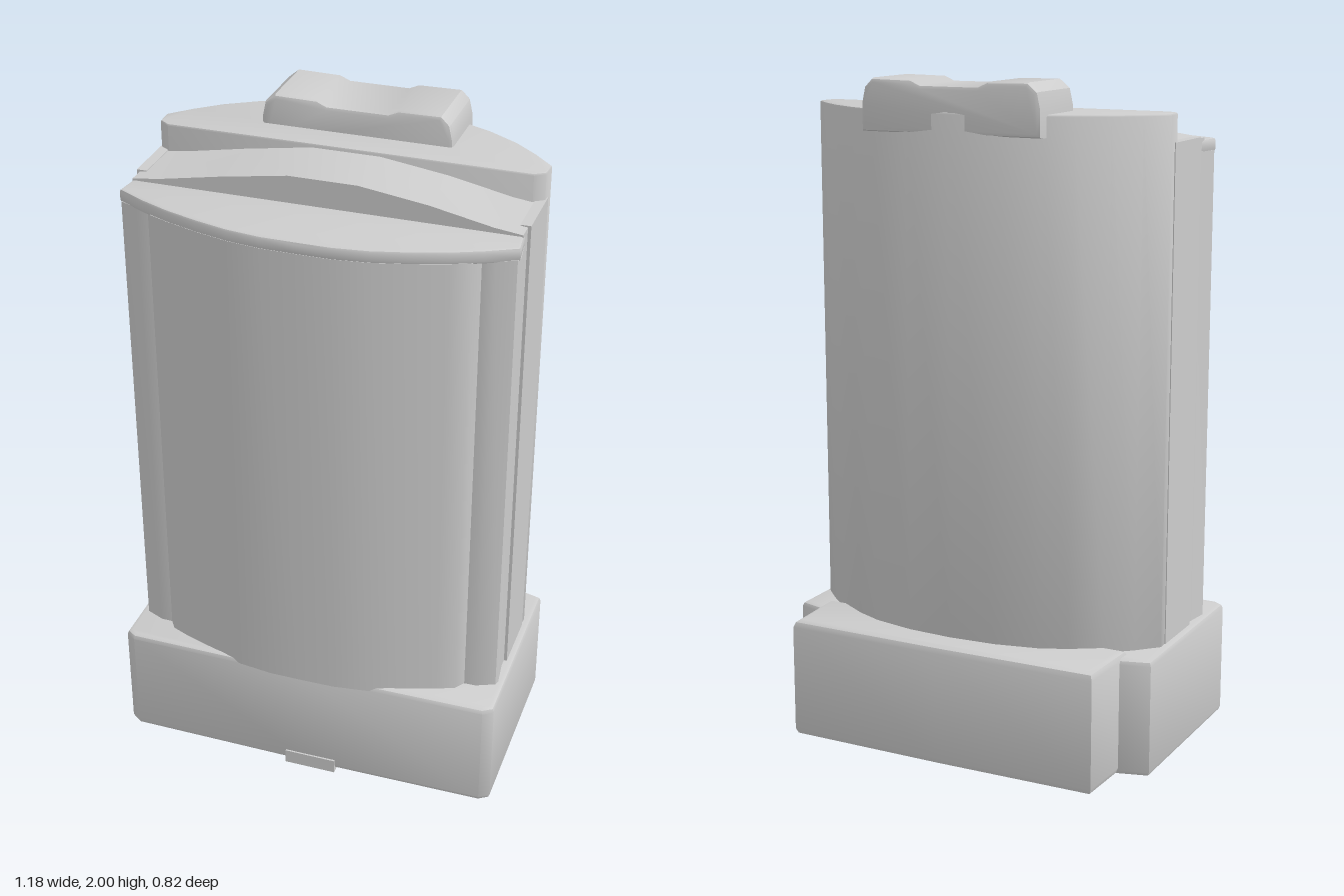
import * as THREE from 'three';
import { toCreasedNormals } from 'three/addons/utils/BufferGeometryUtils.js';

const stone = new THREE.MeshStandardMaterial({ color: 0xcccccc });
stone.name = 'pale grey stone';

const shapeOf = (points) => new THREE.Shape(points.map(([x, y]) => new THREE.Vector2(x, y)));

// Mirrors a half outline given from the centre line outwards and round
const mirrored = (half) => [...half, ...half.filter(([x]) => x > 0).reverse().map(([x, z]) => [-x, z])];

function addMesh(group, name, geometry) {
  const mesh = new THREE.Mesh(toCreasedNormals(geometry, 0.6), stone);
  mesh.name = name;
  group.add(mesh);
}

// Raises a plan outline [x, z] from y0 to y1 with a softened edge
function raise(plan, y0, y1, bevel) {
  const geometry = new THREE.ExtrudeGeometry(shapeOf(plan.map(([x, z]) => [x, -z])), {
    depth: y1 - y0 - 2 * bevel, bevelEnabled: bevel > 0, bevelThickness: bevel,
    bevelSize: bevel, bevelOffset: -bevel, bevelSegments: 2,
  });
  return geometry.rotateX(-Math.PI / 2).translate(0, y0 + bevel, 0);
}

// Pushes a front profile [x, y] from z0 forward to z1
function push(profile, z0, z1, bevel) {
  const geometry = new THREE.ExtrudeGeometry(shapeOf(profile), {
    depth: z1 - z0 - 2 * bevel, bevelEnabled: bevel > 0, bevelThickness: bevel,
    bevelSize: bevel, bevelOffset: -bevel, bevelSegments: 2,
  });
  return geometry.translate(0, 0, z0 + bevel);
}

export function createModel() {
  const model = new THREE.Group();
  model.name = 'towerBlock';

  // Podium with a narrower block behind it
  addMesh(model, 'podium', raise(mirrored([
    [0, 0.395], [0.56, 0.39], [0.59, 0.37], [0.59, -0.21], [0.5, -0.235], [0, -0.235],
  ]), 0.01, 0.365, 0.015));
  addMesh(model, 'rearPodium', raise(mirrored([
    [0, -0.18], [0.505, -0.18], [0.495, -0.41], [0, -0.415],
  ]), 0.01, 0.38, 0.022));
  addMesh(model, 'entranceStep', new THREE.BoxGeometry(0.16, 0.045, 0.03).translate(0.02, 0.0225, 0.385));

  // Bowed front slab, with a shallow groove beside each corner pier
  const frontCurve = [[0, 0.41], [0.1, 0.409], [0.2, 0.396], [0.3, 0.37], [0.4, 0.337]];
  addMesh(model, 'frontSlab', raise(mirrored([
    ...frontCurve, [0.455, 0.314], [0.475, 0.285], [0.51, 0.284], [0.565, 0.26],
    [0.57, 0.245], [0.555, 0.13], [0, 0.13],
  ]), 0.35, 1.785, 0));
  addMesh(model, 'frontCornice', raise(mirrored([
    ...frontCurve, [0.485, 0.3], [0.57, 0.255], [0.555, 0.13], [0, 0.13],
  ]), 1.78, 1.82, 0.008));

  // Middle core with a low pitched roof
  addMesh(model, 'core', push([
    [-0.56, 0.35], [0.56, 0.35], [0.56, 1.825], [0.48, 1.835], [0.3, 1.872],
    [0.1, 1.9], [-0.1, 1.9], [-0.3, 1.868], [-0.48, 1.835], [-0.56, 1.825],
  ], -0.05, 0.19, 0));

  // Bowed rear slab, standing a little taller
  addMesh(model, 'rearSlab', raise(mirrored([
    [0, -0.01], [0.535, -0.01], [0.565, -0.03], [0.568, -0.08], [0.51, -0.14], [0.44, -0.2],
    [0.35, -0.255], [0.27, -0.29], [0.14, -0.317], [0, -0.325],
  ]), 0.35, 1.912, 0.006));

  // Side walls between the two slabs
  for (const side of [-1, 1]) {
    addMesh(model, side > 0 ? 'leftWall' : 'rightWall',
      new THREE.BoxGeometry(0.03, 1.48, 0.19).translate(side * 0.554, 1.09, 0.045));
  }

  // Rooftop plant room with a dip between two raised ends
  addMesh(model, 'plantRoom', push([
    [-0.285, 1.85], [0.28, 1.85], [0.28, 1.93], [0.27, 1.975], [0.245, 2], [0.12, 1.998],
    [0.09, 1.985], [-0.09, 1.985], [-0.12, 1.998], [-0.245, 2], [-0.275, 1.975], [-0.285, 1.93],
  ], -0.322, -0.105, 0.012));

  return model;
}
